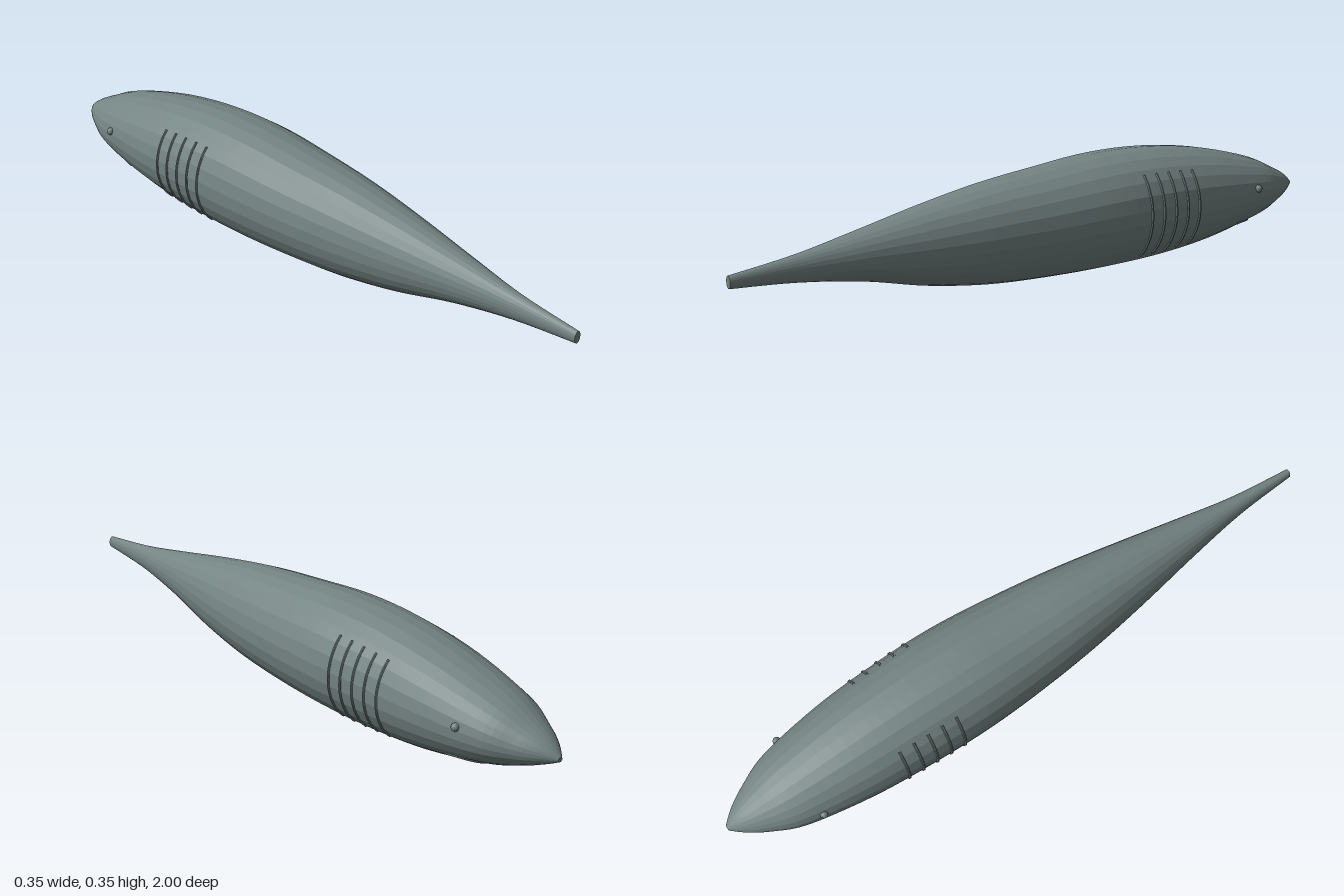
import * as THREE from 'three';

// Stations along the body: z, top y, bottom y, half width
const stations = [
  [1, 0.187, 0.15, 0.012], [0.8, 0.211, 0.132, 0.029], [0.6, 0.248, 0.1, 0.063],
  [0.4, 0.287, 0.052, 0.1], [0.2, 0.319, 0.021, 0.133], [0, 0.339, 0.008, 0.157],
  [-0.2, 0.355, 0.003, 0.171], [-0.4, 0.35, 0.007, 0.169], [-0.6, 0.321, 0.027, 0.156],
  [-0.8, 0.267, 0.068, 0.123], [-0.9, 0.222, 0.1, 0.08], [-0.96, 0.19, 0.125, 0.043],
  [-1, 0.158, 0.145, 0.008],
];
const SIDES = 26;

// Smooth station at u in 0..1
function station(u) {
  const n = stations.length - 1;
  const i = Math.min(Math.floor(u * n), n - 1), t = u * n - i;
  const at = (k) => stations[Math.max(0, Math.min(n, k))];
  return at(i).map((b, c) => {
    const a = at(i - 1)[c], d = at(i + 1)[c], e = at(i + 2)[c];
    return b + 0.5 * t * (d - a + t * (2 * a - 5 * b + 4 * d - e + t * (3 * (b - d) + e - a)));
  });
}

// Station at a given z, found by bisection
function stationAt(z) {
  let lo = 0, hi = 1;
  for (let k = 0; k < 30; k++) {
    const mid = (lo + hi) / 2;
    if (station(mid)[0] > z) lo = mid; else hi = mid;
  }
  return station(lo);
}

// Point on a cross-section; angle 0 is +x, a quarter turn is up
function ringPoint([z, top, bottom, w], a) {
  return new THREE.Vector3(w * Math.cos(a), (top + bottom) / 2 + ((top - bottom) / 2) * Math.sin(a), z);
}

function bodyGeometry() {
  const rings = 60, pos = [], index = [];
  for (let i = 0; i <= rings; i++) {
    const s = station(i / rings);
    for (let j = 0; j < SIDES; j++) {
      pos.push(...ringPoint(s, Math.PI / 2 + (j / SIDES) * Math.PI * 2).toArray());
    }
  }
  for (let i = 0; i < rings; i++) {
    for (let j = 0; j < SIDES; j++) {
      const a = i * SIDES + j, b = i * SIDES + ((j + 1) % SIDES);
      index.push(a, a + SIDES, b, b, a + SIDES, b + SIDES);
    }
  }
  // Flat caps at the tail stump and the snout
  const last = rings * SIDES;
  for (let j = 1; j < SIDES - 1; j++) {
    index.push(0, j, j + 1, last, last + j + 1, last + j);
  }
  const g = new THREE.BufferGeometry();
  g.setAttribute('position', new THREE.Float32BufferAttribute(pos, 3));
  g.setIndex(index);
  g.computeVertexNormals();
  return g;
}

export function createModel() {
  const model = new THREE.Group();
  const skin = new THREE.MeshStandardMaterial({ color: 0x748483 });
  skin.flatShading = true;
  const add = (name, geometry) => {
    const mesh = new THREE.Mesh(geometry, skin);
    mesh.name = name;
    model.add(mesh);
    return mesh;
  };

  add('body', bodyGeometry());

  for (const side of [1, -1]) {
    const label = side > 0 ? 'left' : 'right';

    // Five gill ridges hugging each flank
    for (let k = 0; k < 5; k++) {
      const s = stationAt(-0.295 - k * 0.047);
      const points = [];
      for (let j = 0; j <= 12; j++) {
        const p = ringPoint(s, -0.85 + (j / 12) * 1.6);
        p.x *= side;
        points.push(p);
      }
      add(label + 'Gill' + (k + 1), new THREE.TubeGeometry(new THREE.CatmullRomCurve3(points), 24, 0.004, 6));
    }

    // Eye
    const eye = add(label + 'Eye', new THREE.SphereGeometry(0.012, 12, 8));
    eye.position.copy(ringPoint(stationAt(-0.75), 0.2));
    eye.position.x *= side;
  }

  // Curved mouth line under the head
  const lip = [];
  for (let j = 0; j <= 16; j++) {
    const t = (j / 16) * Math.PI;
    const x = 0.1 * Math.cos(t);
    const s = stationAt(-0.69 - 0.1 * Math.sin(t));
    lip.push(ringPoint(s, -Math.acos(x / s[3])));
  }
  add('mouth', new THREE.TubeGeometry(new THREE.CatmullRomCurve3(lip), 40, 0.003, 6));

  return model;
}
